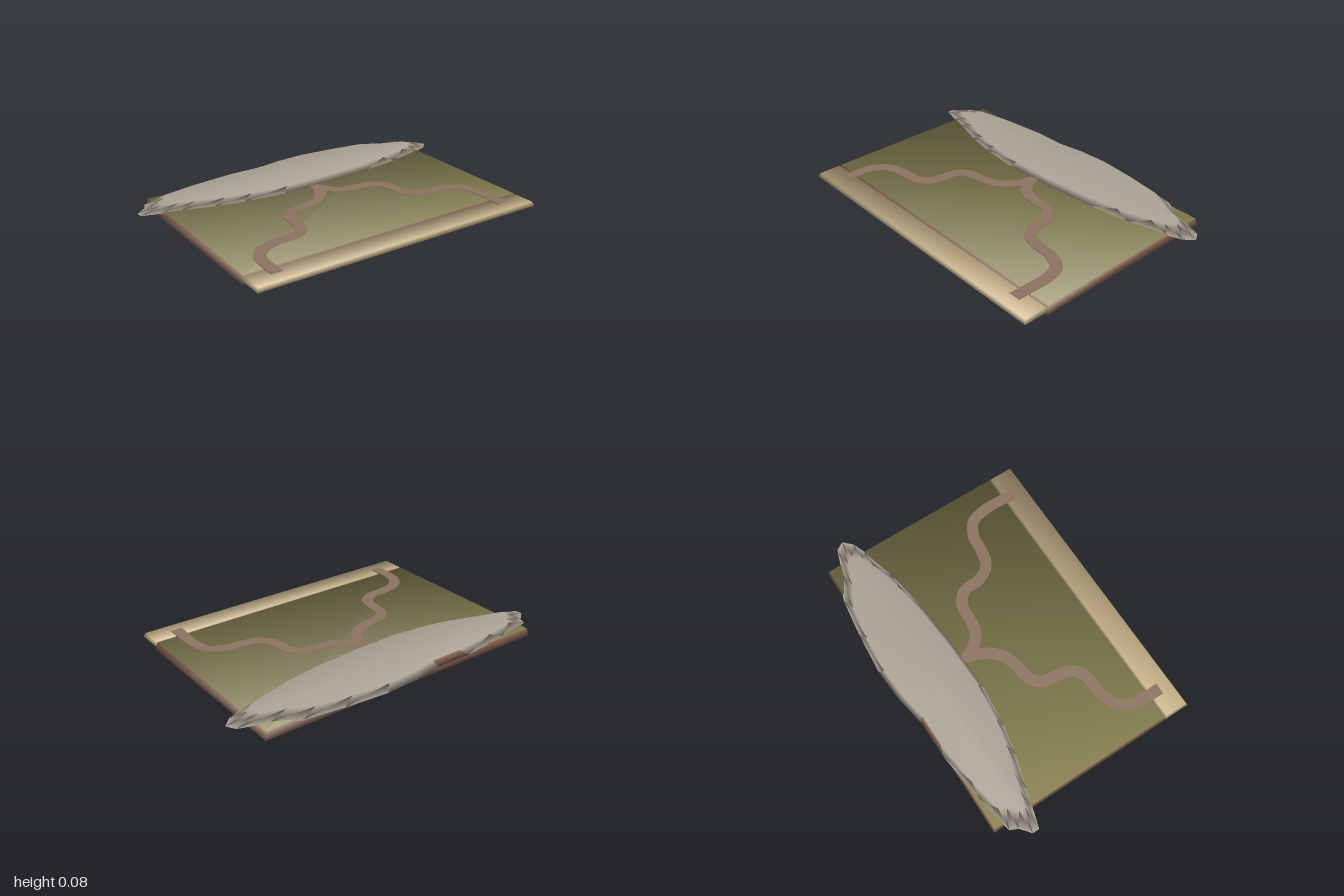
import * as THREE from 'three';

const mat = (name, color, side = THREE.FrontSide) => {
  const m = new THREE.MeshStandardMaterial({ color, side });
  m.name = name;
  return m;
};

// Slab with slightly inset top edges and normals rounded over its corners
function block(name, w, d, y0, y1, z, materials) {
  const geo = new THREE.BoxGeometry(w, y1 - y0, d);
  const p = geo.attributes.position, n = geo.attributes.normal;
  const v = new THREE.Vector3();
  for (let i = 0; i < p.count; i++) {
    v.set(Math.sign(p.getX(i)), Math.sign(p.getY(i)), Math.sign(p.getZ(i)));
    const inset = v.y > 0 ? 0.01 : 0;
    p.setX(i, p.getX(i) - v.x * inset);
    p.setZ(i, p.getZ(i) - v.z * inset);
    v.normalize();
    n.setXYZ(i, v.x, v.y, v.z);
  }
  const mesh = new THREE.Mesh(geo, materials);
  mesh.position.set(0, (y0 + y1) / 2, z);
  mesh.name = name;
  return mesh;
}

// Flat winding strip with short side skirts, swept along [x, z] points
function trail(name, points, width, y0, y1, material) {
  const curve = new THREE.CatmullRomCurve3(points.map(([x, z]) => new THREE.Vector3(x, 0, z)));
  const steps = 60, pos = [], index = [];
  for (let i = 0; i <= steps; i++) {
    const c = curve.getPointAt(i / steps), t = curve.getTangentAt(i / steps);
    const sx = -t.z * width / 2, sz = t.x * width / 2;
    // left skirt, top, right skirt: each strip has its own vertices
    for (const [s, y] of [[-1, y0], [-1, y1], [-1, y1], [1, y1], [1, y1], [1, y0]])
      pos.push(c.x + s * sx, y, c.z + s * sz);
    if (i < steps) for (let k = 0; k < 6; k += 2) {
      const a = i * 6 + k, b = a + 1, e = a + 6, f = a + 7;
      index.push(a, b, e, b, f, e);
    }
  }
  const geo = new THREE.BufferGeometry();
  geo.setAttribute('position', new THREE.Float32BufferAttribute(pos, 3));
  geo.setIndex(index);
  geo.computeVertexNormals();
  const mesh = new THREE.Mesh(geo, material);
  mesh.name = name;
  return mesh;
}

// Bevelled plateau from an outline; one side facet takes the second material
function plateau(name, outline, y0, y1, zc, bareFacet, materials) {
  const n = outline.length, pos = [], index = [], bare = [];
  outline.forEach(([x, z]) => pos.push(x, y0, z));
  outline.forEach(([x, z]) => pos.push(x * 0.87, y1, zc + (z - zc) * 0.88));
  pos.push(0, y1, zc, 0, y0, zc);
  for (let i = 0; i < n; i++) {
    const j = (i + 1) % n;
    (i === bareFacet ? bare : index).push(i, n + i, j, j, n + i, n + j);
    index.push(2 * n, n + j, n + i, 2 * n + 1, i, j);
  }
  const geo = new THREE.BufferGeometry();
  geo.setAttribute('position', new THREE.Float32BufferAttribute(pos, 3));
  geo.setIndex([...index, ...bare]);
  geo.addGroup(0, index.length, 0);
  geo.addGroup(index.length, bare.length, 1);
  geo.computeVertexNormals();
  const mesh = new THREE.Mesh(geo, materials);
  mesh.name = name;
  return mesh;
}

export function createModel() {
  const grass = mat('grass', 0x8b8454);
  const soil = mat('soil', 0x8e6c58);
  const sand = mat('sand', 0xd0ba90);
  const rock = mat('rock', 0xaea597);
  const dirt = mat('dirt', 0x8d7560, THREE.DoubleSide);

  const group = new THREE.Group();
  group.name = 'terrain';

  // Ground with soil sides, and the beach along the front
  group.add(block('ground', 1.77, 1.12, 0, 0.044, -0.045, [soil, soil, grass, grass, soil, soil]));
  group.add(block('beach', 1.77, 0.15, 0.02, 0.043, 0.585, sand));

  // Rocky ridge along the back, listed clockwise from its -x tip
  const outline = [
    [-1, -0.44], [-0.94, -0.49], [-0.92, -0.535], [-0.7, -0.58], [-0.4, -0.617], [-0.18, -0.62],
    [0, -0.652], [0.2, -0.665], [0.45, -0.645], [0.68, -0.615], [0.82, -0.54], [0.97, -0.49],
    [1, -0.44], [0.95, -0.39], [0.87, -0.36], [0.65, -0.3], [0.4, -0.26], [0.1, -0.235],
    [-0.2, -0.225], [-0.45, -0.25], [-0.62, -0.285], [-0.8, -0.34], [-0.9, -0.37], [-1, -0.4],
  ];
  group.add(plateau('ridge', outline, 0.04, 0.075, -0.44, 4, [rock, soil]));

  // Two winding trails from the ridge to the beach
  group.add(trail('rightTrail', [
    [0.01, -0.23], [-0.03, -0.12], [-0.1, -0.04], [-0.2, -0.005], [-0.29, 0.01], [-0.345, 0.06],
    [-0.36, 0.15], [-0.38, 0.23], [-0.45, 0.28], [-0.56, 0.29], [-0.66, 0.32], [-0.72, 0.4], [-0.73, 0.58],
  ], 0.066, 0.04, 0.047, dirt));
  group.add(trail('leftTrail', [
    [-0.01, -0.23], [0.04, -0.14], [0.1, -0.09], [0.19, -0.075], [0.29, -0.06], [0.35, 0],
    [0.36, 0.1], [0.41, 0.18], [0.5, 0.21], [0.6, 0.22], [0.69, 0.27], [0.72, 0.36], [0.72, 0.58],
  ], 0.066, 0.04, 0.0475, dirt));

  return group;
}
